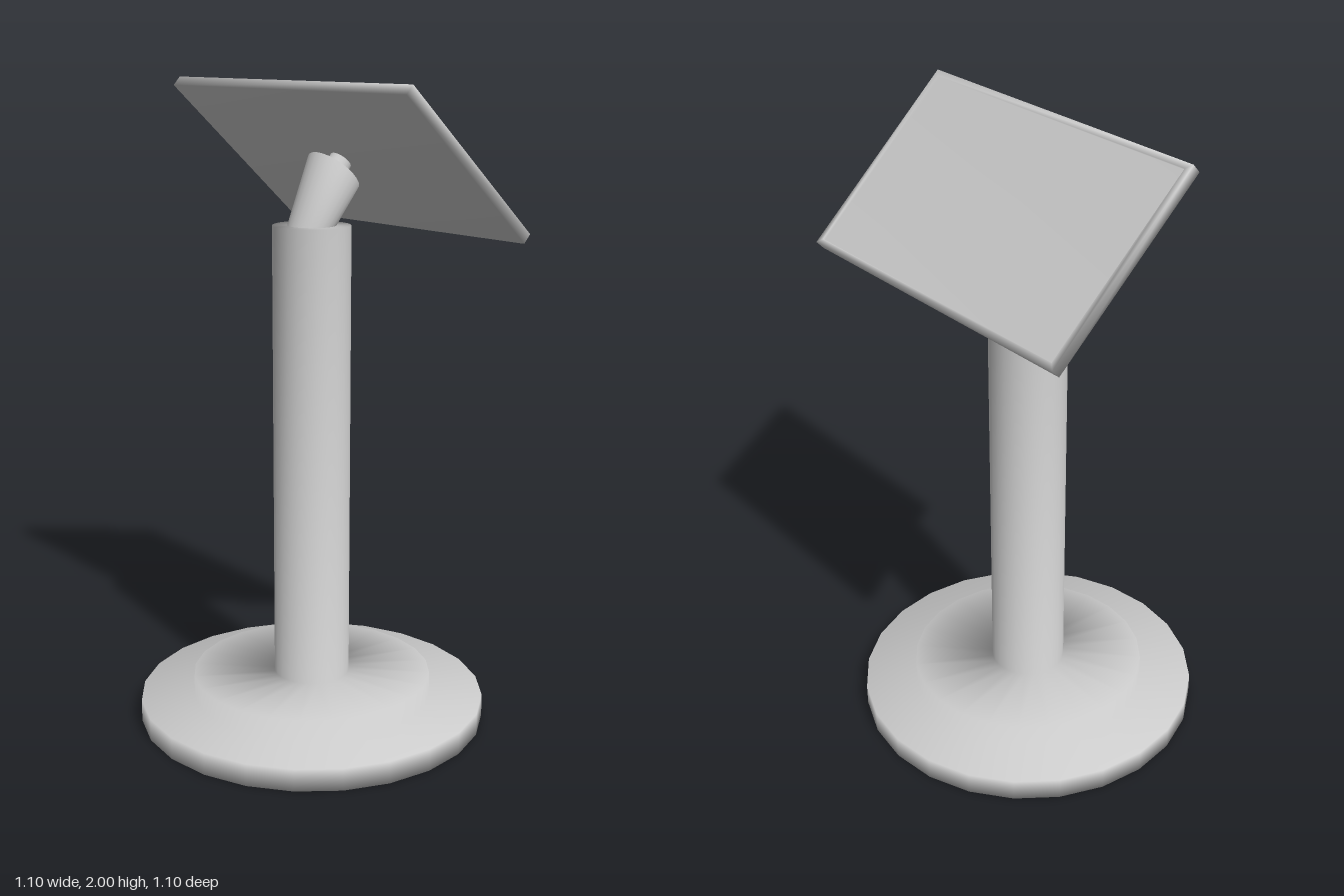
import * as THREE from 'three';

const material = new THREE.MeshStandardMaterial({ color: 0xcccccc });

// Ring of points in a tilted plane: u is the half size across x, v the half size along z
function ring(n, u, v, y, z = 0, tilt = 0, turn = 0) {
  const points = [];
  for (let i = 0; i < n; i++) {
    const a = turn + (i / n) * Math.PI * 2;
    points.push(new THREE.Vector3(u * Math.sin(a), 0, v * Math.cos(a))
      .applyAxisAngle(new THREE.Vector3(1, 0, 0), tilt)
      .add(new THREE.Vector3(0, y, z)));
  }
  return points;
}

// Smooth skin through rings listed from bottom to top
function loft(name, rings) {
  const n = rings[0].length;
  const index = [];
  for (let i = 0; i < rings.length - 1; i++) {
    for (let j = 0; j < n; j++) {
      const k = (j + 1) % n;
      const a = i * n + j, b = i * n + k, c = b + n, d = a + n;
      index.push(a, b, c, a, c, d);
    }
  }
  const geometry = new THREE.BufferGeometry().setFromPoints(rings.flat());
  geometry.setIndex(index);
  geometry.computeVertexNormals();
  const mesh = new THREE.Mesh(geometry, material);
  mesh.name = name;
  return mesh;
}

export function createModel() {
  const model = new THREE.Group();
  model.name = 'screenStand';
  const SIDES = 24;
  const TILT = -0.738;

  // Stepped round base and column, as [radius, height]
  const profile = [
    [0, 0], [0.55, 0], [0.55, 0.07], [0.38, 0.07], [0.38, 0.14],
    [0.12, 0.14], [0.12, 1.575], [0, 1.575],
  ];
  model.add(loft('pedestal', profile.map(([r, y]) => ring(SIDES, r, r, y))));

  // Leaning neck, cut parallel to the screen, with a narrow mount on its end
  model.add(loft('neck', [
    ring(SIDES, 0.074, 0.074, 1.574),
    ring(SIDES, 0.09, 0.09, 1.73, -0.085, TILT),
    ring(SIDES, 0.036, 0.036, 1.73, -0.085, TILT),
    ring(SIDES, 0.036, 0.036, 1.765, -0.117, TILT),
  ]));

  // Tilted screen: flat back, thin rim and slightly recessed display
  const W = 0.535, H = 0.32, RIM = 0.018;
  const rect = (w, h, y) => ring(4, w * Math.SQRT2, h * Math.SQRT2, y, 0, 0, Math.PI / 4);
  const screen = loft('screen', [
    rect(0, 0, 0),
    rect(W, H, 0),
    rect(W, H, 0.035),
    rect(W - RIM, H - RIM, 0.035),
    rect(W - RIM, H - RIM, 0.027),
    rect(0, 0, 0.027),
  ]);
  screen.position.set(0, 1.76, -0.115);
  screen.rotation.x = TILT;
  model.add(screen);

  return model;
}
